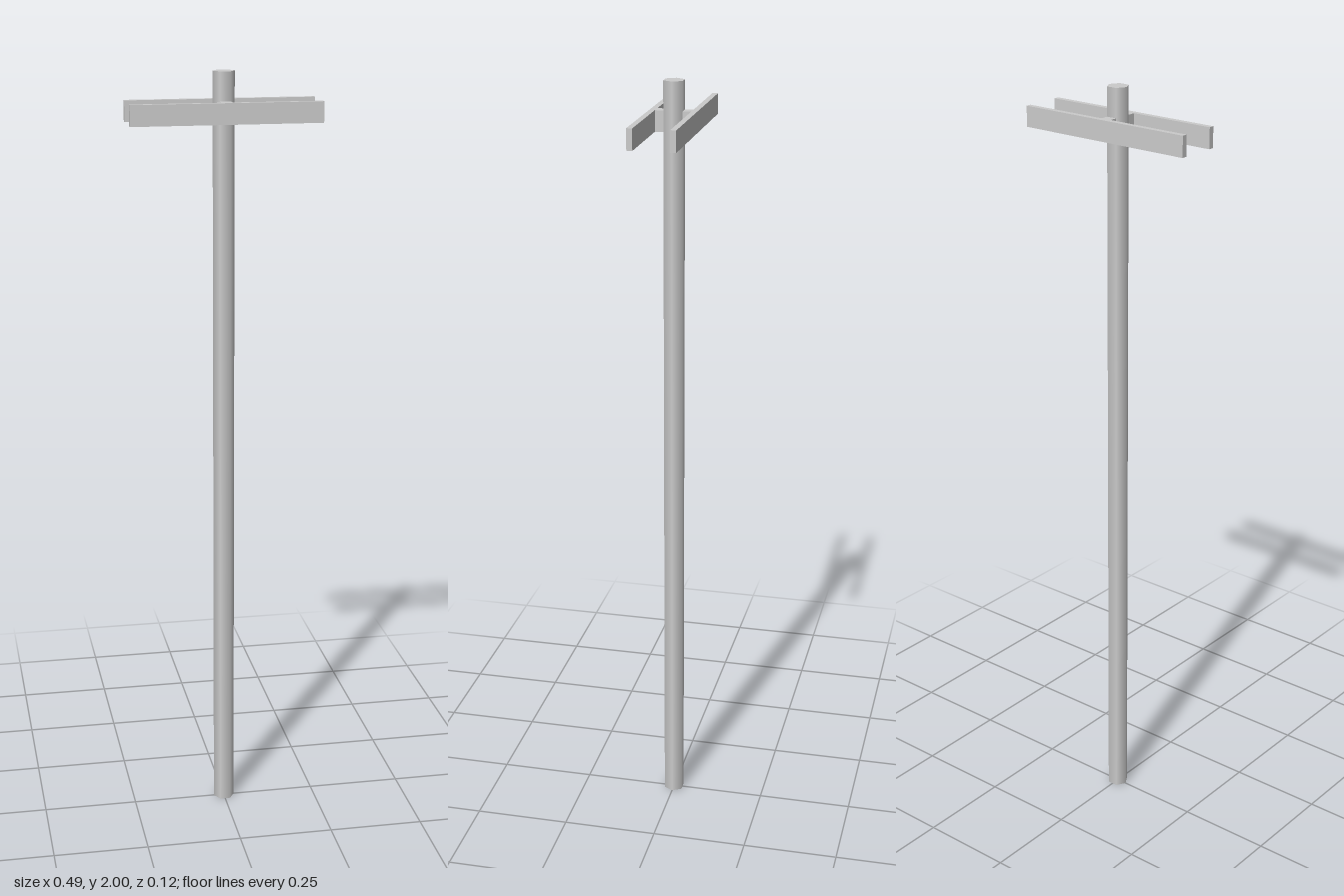
import * as THREE from 'three';

export function createModel() {
  const model = new THREE.Group();
  model.name = 'utilityPole';
  const material = new THREE.MeshStandardMaterial({ color: 0xcccccc });

  const add = (name, geometry, x, y, z) => {
    const mesh = new THREE.Mesh(geometry, material);
    mesh.name = name;
    mesh.position.set(x, y, z);
    model.add(mesh);
  };

  // Six-sided pole with flat sides towards the front and back
  const radius = 0.028;
  const flat = radius * Math.cos(Math.PI / 6);
  add('pole', new THREE.CylinderGeometry(radius, radius, 2, 6, 1, false, Math.PI / 2), 0, 1, 0);

  // A crossarm on each side, held off the pole by a spacer block
  const armY = 1.9, armHeight = 0.053;
  const inner = 0.0455, outer = 0.06;
  for (const [side, label] of [[1, 'front'], [-1, 'back']]) {
    add(label + 'Crossarm', new THREE.BoxGeometry(0.487, armHeight, outer - inner),
      0, armY, side * (inner + outer) / 2);
    add(label + 'Spacer', new THREE.BoxGeometry(radius, armHeight, inner - flat),
      0, armY, side * (inner + flat) / 2);
  }

  return model;
}
